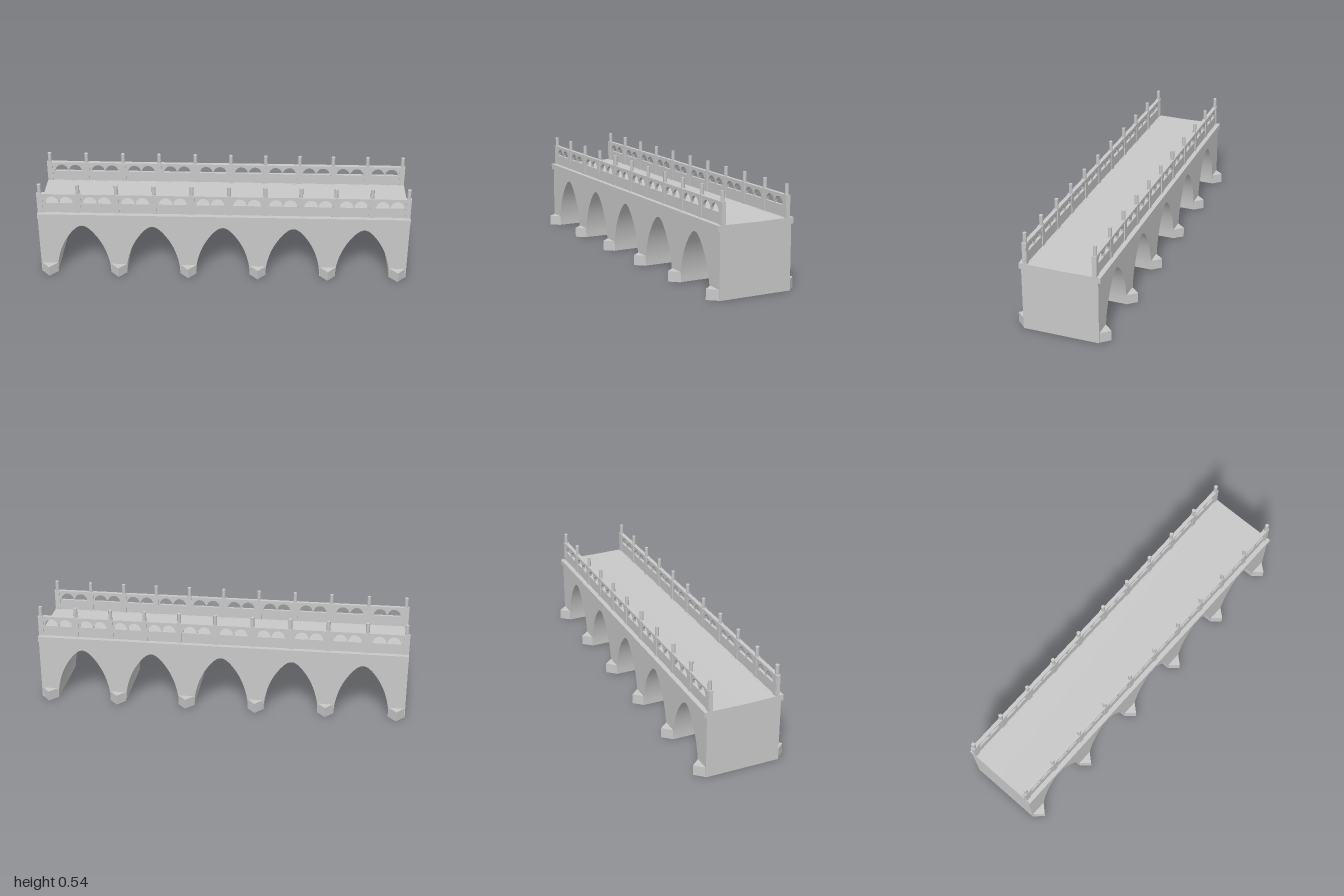
import * as THREE from 'three';
import { toCreasedNormals } from 'three/addons/utils/BufferGeometryUtils.js';

export function createModel() {
  const bridge = new THREE.Group();
  bridge.name = 'archBridge';
  const stone = new THREE.MeshStandardMaterial({ color: 0xc8c8c8 });
  stone.name = 'grey stone';

  function add(geometry, name, parent = bridge) {
    const mesh = new THREE.Mesh(geometry, stone);
    mesh.name = name;
    parent.add(mesh);
    return mesh;
  }
  function box(w, h, d, x, y, z, name, parent) {
    const mesh = add(new THREE.BoxGeometry(w, h, d), name, parent);
    mesh.position.set(x, y, z);
    return mesh;
  }
  // Extrude a front outline, centred on z = 0
  function slab(shape, depth) {
    const g = new THREE.ExtrudeGeometry(shape, { depth, bevelEnabled: false, curveSegments: 14 });
    return toCreasedNormals(g.translate(0, 0, -depth / 2), 0.5);
  }

  // Bridge body: one outline running in and out of the five arches
  const halfArch = [[0.148, 0], [0.143, 0.06], [0.126, 0.13], [0.101, 0.19], [0.066, 0.245], [0.03, 0.283]];
  const archPoints = [
    ...halfArch.map(([x, y]) => new THREE.Vector2(-x, y)),
    new THREE.Vector2(0, 0.295),
    ...halfArch.slice().reverse().map(([x, y]) => new THREE.Vector2(x, y)),
  ];
  const arch = new THREE.SplineCurve(archPoints).getPoints(32);
  const outline = new THREE.Shape();
  outline.moveTo(-1, 0.366);
  outline.lineTo(-1, 0);
  for (let i = 0; i < 5; i++) {
    const cx = -0.764 + i * 0.381;
    arch.forEach((p) => outline.lineTo(cx + p.x, p.y));
  }
  outline.lineTo(1, 0);
  outline.lineTo(1, 0.366);
  outline.closePath();
  add(slab(outline, 0.404), 'archedBody');

  // Triangular cutwater footing, pointing to +z
  const wedge = new THREE.Shape();
  wedge.moveTo(-0.044, 0);
  wedge.lineTo(0, -0.05);
  wedge.lineTo(0.044, 0);
  wedge.closePath();
  const cutwaterGeometry = new THREE.ExtrudeGeometry(wedge, { depth: 0.055, bevelEnabled: false });
  cutwaterGeometry.rotateX(-Math.PI / 2);

  // Post positions along each parapet
  const postX = [-0.983, -0.778, -0.572, -0.37, -0.168, 0.031, 0.225, 0.414, 0.6, 0.791, 0.985];

  function makeSide(name) {
    const side = new THREE.Group();
    side.name = name;
    bridge.add(side);

    for (let i = 0; i < 6; i++) {
      const cutwater = add(cutwaterGeometry, 'cutwater', side);
      cutwater.position.set(-0.953 + i * 0.381, 0, 0.2);
    }

    // Cornice along the deck edge, with a thin lower moulding
    box(2, 0.022, 0.05, 0, 0.359, 0.19, 'cornice', side);
    box(2, 0.009, 0.048, 0, 0.3435, 0.19, 'corniceMoulding', side);

    // Parapet wall with a pair of half-round openings in each bay
    const wall = new THREE.Shape();
    wall.moveTo(-1, 0.365);
    wall.lineTo(1, 0.365);
    wall.lineTo(1, 0.474);
    wall.lineTo(-1, 0.474);
    wall.closePath();
    for (let i = 0; i < 10; i++) {
      const mid = (postX[i] + postX[i + 1]) / 2;
      for (const s of [-1, 1]) {
        const cx = mid + s * 0.0385;
        const hole = new THREE.Path();
        hole.moveTo(cx + 0.036, 0.427);
        hole.absellipse(cx, 0.427, 0.036, 0.039, 0, Math.PI, false);
        hole.closePath();
        wall.holes.push(hole);
      }
    }
    add(slab(wall, 0.015), 'parapetWall', side).position.z = 0.182;
    box(2, 0.011, 0.021, 0, 0.4765, 0.182, 'handrail', side);

    // Posts: square base with a slimmer shaft above the rail
    for (const x of postX) {
      box(0.028, 0.116, 0.024, x, 0.425, 0.182, 'postBase', side);
      const shaft = add(new THREE.CylinderGeometry(0.0105, 0.0105, 0.056, 8), 'postShaft', side);
      shaft.position.set(x, 0.508, 0.182);
    }
    return side;
  }

  makeSide('frontParapet');
  makeSide('backParapet').rotation.y = Math.PI;
  // Keep the uneven post spacing the same way round on the back
  bridge.getObjectByName('backParapet').children.forEach((part) => {
    if (part.name.startsWith('post') || part.name === 'cutwater') part.position.x *= -1;
    if (part.name === 'parapetWall') part.rotation.y = Math.PI;
  });

  // Shallow deck surface, dipping slightly to the middle
  for (const s of [-1, 1]) {
    const paving = box(2, 0.004, 0.172, 0, 0.3665, s * 0.085, 'deckPaving');
    paving.rotation.x = -s * 0.015;
  }
  return bridge;
}
